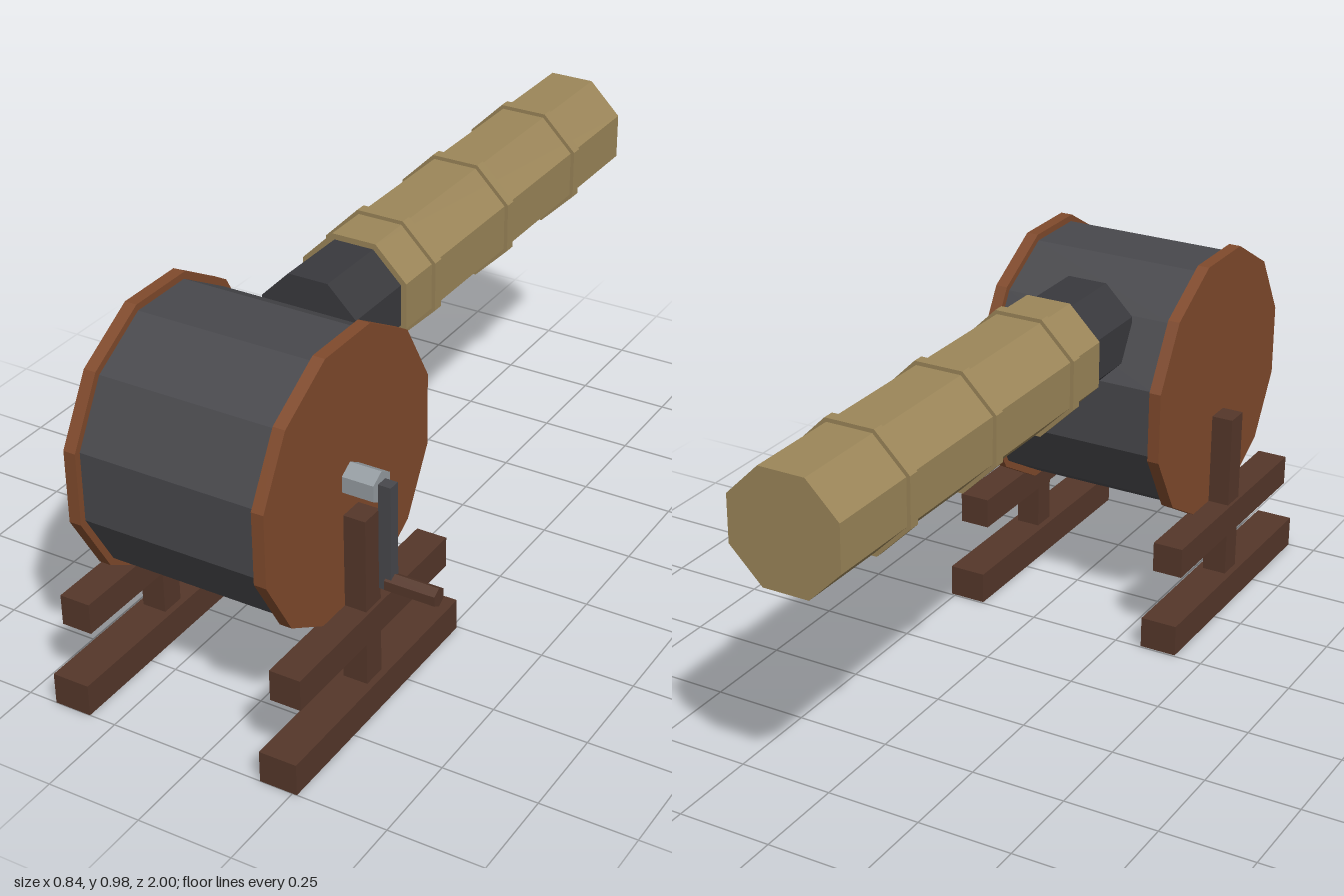
import * as THREE from 'three';

const material = (name, color) => {
  const m = new THREE.MeshStandardMaterial({ color, flatShading: true });
  m.name = name;
  return m;
};

export function createModel() {
  const iron = material('drum iron', 0x48484c);
  const darkIron = material('dark iron', 0x39393d);
  const copper = material('copper brown', 0x804a2c);
  const wood = material('dark wood', 0x55372a);
  const tan = material('tan sleeve', 0x9c8659);
  const steel = material('light steel', 0x959ca1);

  const model = new THREE.Group();
  model.name = 'crankBlower';

  const add = (parent, name, geometry, mat) => {
    const mesh = new THREE.Mesh(geometry, mat);
    mesh.name = name;
    parent.add(mesh);
    return mesh;
  };
  const box = (parent, name, mat, x, y, z) =>
    add(parent, name, new THREE.BoxGeometry(x[1] - x[0], y[1] - y[0], z[1] - z[0]), mat)
      .position.set((x[0] + x[1]) / 2, (y[0] + y[1]) / 2, (z[0] + z[1]) / 2);

  // Prism with its axis along x, or along z, between two positions
  const prism = (parent, name, mat, axis, sides, radius, turn, from, to, a, b) => {
    const g = new THREE.CylinderGeometry(radius, radius, to - from, sides, 1, false, turn);
    const mid = (from + to) / 2;
    if (axis === 'x') g.rotateZ(Math.PI / 2).translate(mid, a, b);
    else g.rotateX(Math.PI / 2).translate(a, b, mid);
    return add(parent, name, g, mat);
  };

  const cx = -0.08, cy = 0.627, cz = 0.627;

  // Twelve-sided drum and its two end plates
  const drum = new THREE.Group();
  drum.name = 'drum';
  model.add(drum);
  const t12 = Math.PI / 12;
  prism(drum, 'drumBody', iron, 'x', 12, 0.349, t12, -0.316, 0.156, cy, cz);
  prism(drum, 'leftPlate', copper, 'x', 12, 0.367, t12, 0.155, 0.187, cy, cz);
  prism(drum, 'rightPlate', copper, 'x', 12, 0.367, t12, -0.347, -0.315, cy, cz);

  // Octagonal outlet neck, long sleeve and bands
  const pipe = new THREE.Group();
  pipe.name = 'pipe';
  model.add(pipe);
  const t8 = Math.PI / 8, r8 = 1 / Math.cos(t8);
  prism(pipe, 'neck', darkIron, 'z', 8, 0.131 * r8, t8, 0.15, 0.372, cx, 0.82);
  prism(pipe, 'sleeve', tan, 'z', 8, 0.146 * r8, t8, -1, 0.165, cx, 0.82);
  for (const z of [0.027, -0.348, -0.723])
    prism(pipe, 'sleeveBand', tan, 'z', 8, 0.156 * r8, t8, z - 0.015, z + 0.015, cx, 0.82);

  // Matching wooden stands either side of the drum
  for (const side of [1, -1]) {
    const stand = new THREE.Group();
    stand.name = side > 0 ? 'leftStand' : 'rightStand';
    stand.position.x = cx + side * 0.292;
    model.add(stand);
    box(stand, 'foot', wood, [-0.05, 0.05], [0, 0.085], [0.255, 1]);
    box(stand, 'beam', wood, [-0.041, 0.041], [0.21, 0.292], [0.295, 0.96]);
    box(stand, 'post', wood, [-0.033, 0.033], [0.08, 0.542], [cz - 0.033, cz + 0.033]);
  }

  // Hand crank
  const crank = new THREE.Group();
  crank.name = 'crank';
  model.add(crank);
  const t6 = Math.PI / 6;
  prism(crank, 'axle', steel, 'x', 6, 0.042, t6, 0.18, 0.27, cy, cz);
  box(crank, 'arm', iron, [0.27, 0.303], [0.36, 0.642], [cz - 0.016, cz + 0.016]);
  prism(crank, 'handle', wood, 'x', 6, 0.025, t6, 0.287, 0.42, 0.376, cz);

  return model;
}
